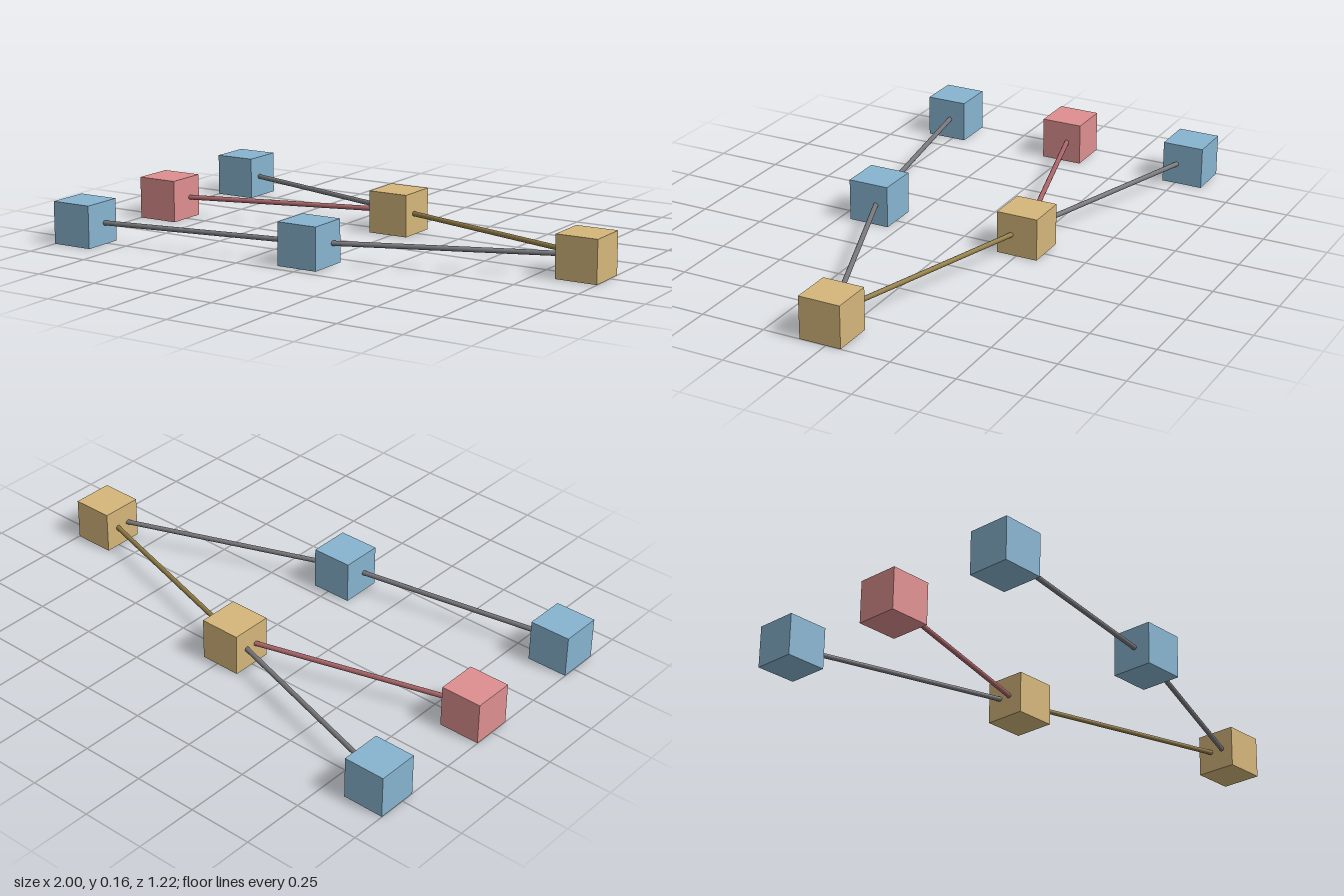
import * as THREE from 'three';

const SIZE = 0.163;
const ROD_RADIUS = 0.0095;
const BLUE = 0x87b4d0, GOLD = 0xd4b67a, RED = 0xde8f8f;
const GREY_ROD = 0x77777b, GOLD_ROD = 0x8f7a45, RED_ROD = 0xa86468;

// Cube nodes of the tree: centre x, z and colour
const NODES = {
  rootNode: [0.918, 0.023, GOLD],
  backBranchNode: [-0.015, -0.252, GOLD],
  frontBranchNode: [-0.015, 0.376, BLUE],
  backLeafNode: [-0.918, -0.528, BLUE],
  middleLeafNode: [-0.918, 0, RED],
  frontLeafNode: [-0.918, 0.528, BLUE],
};

// Rods joining two nodes
const RODS = [
  ['backTrunkRod', 'rootNode', 'backBranchNode', GOLD_ROD],
  ['frontTrunkRod', 'rootNode', 'frontBranchNode', GREY_ROD],
  ['backLeafRod', 'backBranchNode', 'backLeafNode', GREY_ROD],
  ['middleLeafRod', 'backBranchNode', 'middleLeafNode', RED_ROD],
  ['frontLeafRod', 'frontBranchNode', 'frontLeafNode', GREY_ROD],
];

const centre = (name) => new THREE.Vector3(NODES[name][0], SIZE / 2, NODES[name][1]);

export function createModel() {
  const group = new THREE.Group();
  const add = (name, geometry, color) => {
    const mesh = new THREE.Mesh(geometry, new THREE.MeshStandardMaterial({ color }));
    mesh.name = name;
    group.add(mesh);
    return mesh;
  };

  // Cubes
  for (const [name, [, , color]] of Object.entries(NODES)) {
    add(name, new THREE.BoxGeometry(SIZE, SIZE, SIZE), color).position.copy(centre(name));
  }

  // Rods run from centre to centre
  for (const [name, from, to, color] of RODS) {
    const a = centre(from), b = centre(to);
    const direction = b.clone().sub(a);
    const rod = add(name, new THREE.CylinderGeometry(ROD_RADIUS, ROD_RADIUS, direction.length(), 12), color);
    rod.position.copy(a).add(b).multiplyScalar(0.5);
    rod.quaternion.setFromUnitVectors(new THREE.Vector3(0, 1, 0), direction.normalize());
  }
  return group;
}
